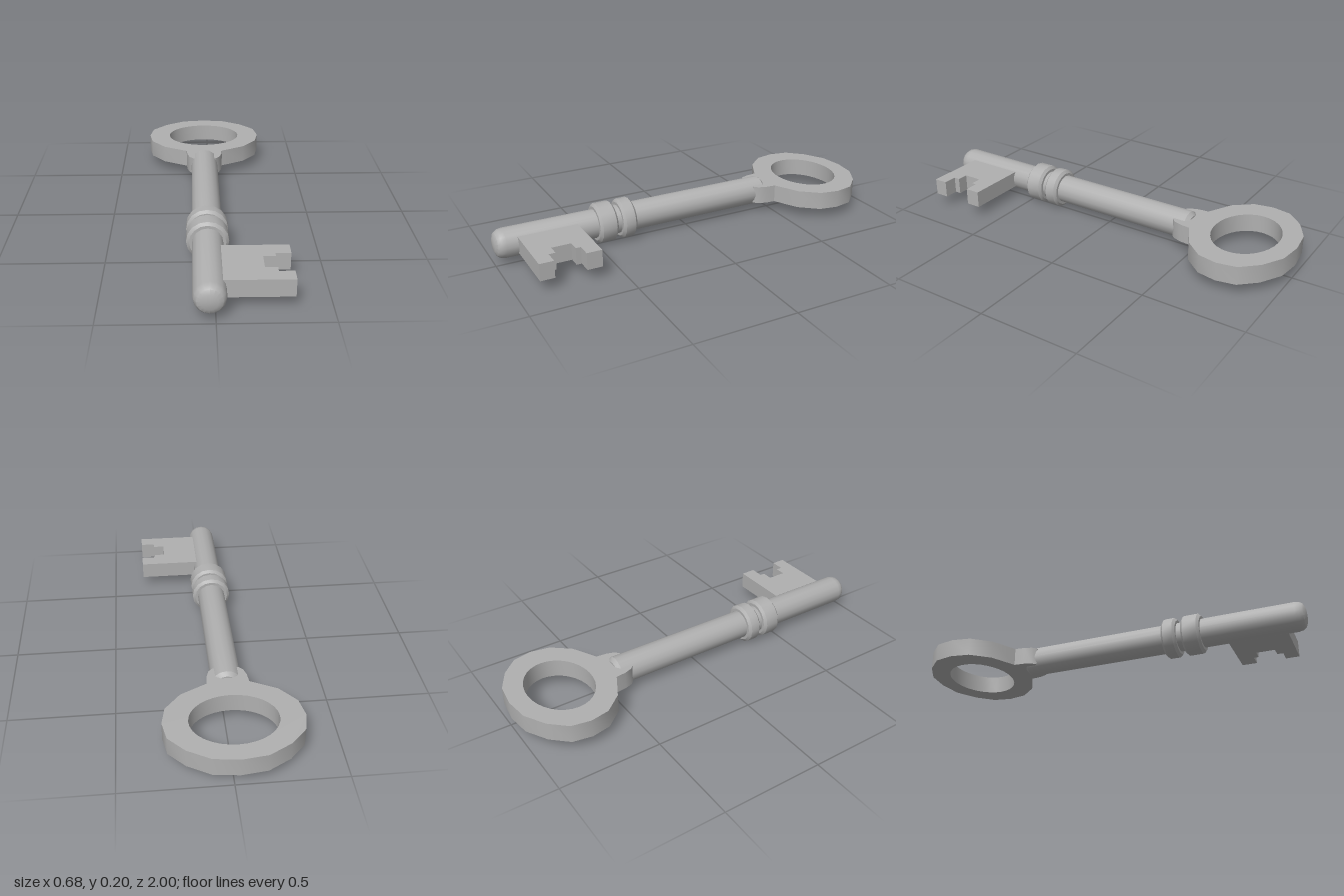
import * as THREE from 'three';
import { toCreasedNormals } from 'three/addons/utils/BufferGeometryUtils.js';

const AXIS_X = -0.025, AXIS_Y = 0.1;

export function createModel() {
  const key = new THREE.Group();
  key.name = 'key';
  const steel = new THREE.MeshStandardMaterial({ color: 0xb0b0b0 });
  steel.name = 'grey steel';

  const add = (name, geometry) => {
    const mesh = new THREE.Mesh(toCreasedNormals(geometry, 0.6), steel);
    mesh.name = name;
    key.add(mesh);
  };

  // Turned part along z from [radius, z] pairs, listed back to front
  const turned = (name, profile) => {
    const g = new THREE.LatheGeometry(profile.map(([r, z]) => new THREE.Vector2(r, z)), 16);
    g.rotateX(Math.PI / 2).translate(AXIS_X, AXIS_Y, 0);
    add(name, g);
  };

  // Flat part drawn in (x, z) and given height from y0 to y1
  const plate = (name, shape, y0, y1) => {
    const g = new THREE.ExtrudeGeometry(shape, { depth: y1 - y0, bevelEnabled: false, curveSegments: 16 });
    g.rotateX(Math.PI / 2).translate(0, y1, 0);
    add(name, g);
  };
  const outline = (points) => new THREE.Shape(points.map(([x, z]) => new THREE.Vector2(x, z)));

  // Shaft with a rounded tip and a bevelled back end
  turned('shaft', [[0, -0.47], [0.055, -0.468], [0.072, -0.45], [0.072, 0.95],
    [0.068, 0.972], [0.057, 0.988], [0.035, 0.997], [0, 1]]);

  // Two chamfered collars
  for (const [name, a, b] of [['rearCollar', 0.3, 0.373], ['frontCollar', 0.4, 0.495]]) {
    turned(name, [[0.06, a], [0.086, a], [0.1, a + 0.012], [0.1, b - 0.012], [0.086, b], [0.06, b]]);
  }

  // Oval bow with its neck, mirrored about the shaft axis
  const half = [[0.12, -0.985], [0.225, -0.925], [0.3, -0.845], [0.318, -0.75], [0.3, -0.655],
    [0.225, -0.565], [0.1, -0.5], [0.095, -0.45], [0.082, -0.41], [0.062, -0.39]];
  const right = half.map(([x, z]) => [AXIS_X + x, z]);
  const left = half.map(([x, z]) => [AXIS_X - x, z]).reverse();
  const bow = outline([[AXIS_X, -1], ...right, ...left]);
  const hole = new THREE.Path();
  hole.absellipse(AXIS_X, -0.75, 0.202, 0.16, 0, Math.PI * 2, true);
  bow.holes.push(hole);
  plate('bow', bow, 0.055, 0.146);

  // Bit with a stepped notch in its outer edge
  plate('bit', outline([[0, 0.6], [0.338, 0.6], [0.338, 0.675], [0.268, 0.675], [0.268, 0.7],
    [0.212, 0.7], [0.212, 0.795], [0.268, 0.795], [0.268, 0.826], [0.338, 0.826],
    [0.338, 0.895], [0, 0.895]]), 0.059, 0.143);

  return key;
}
